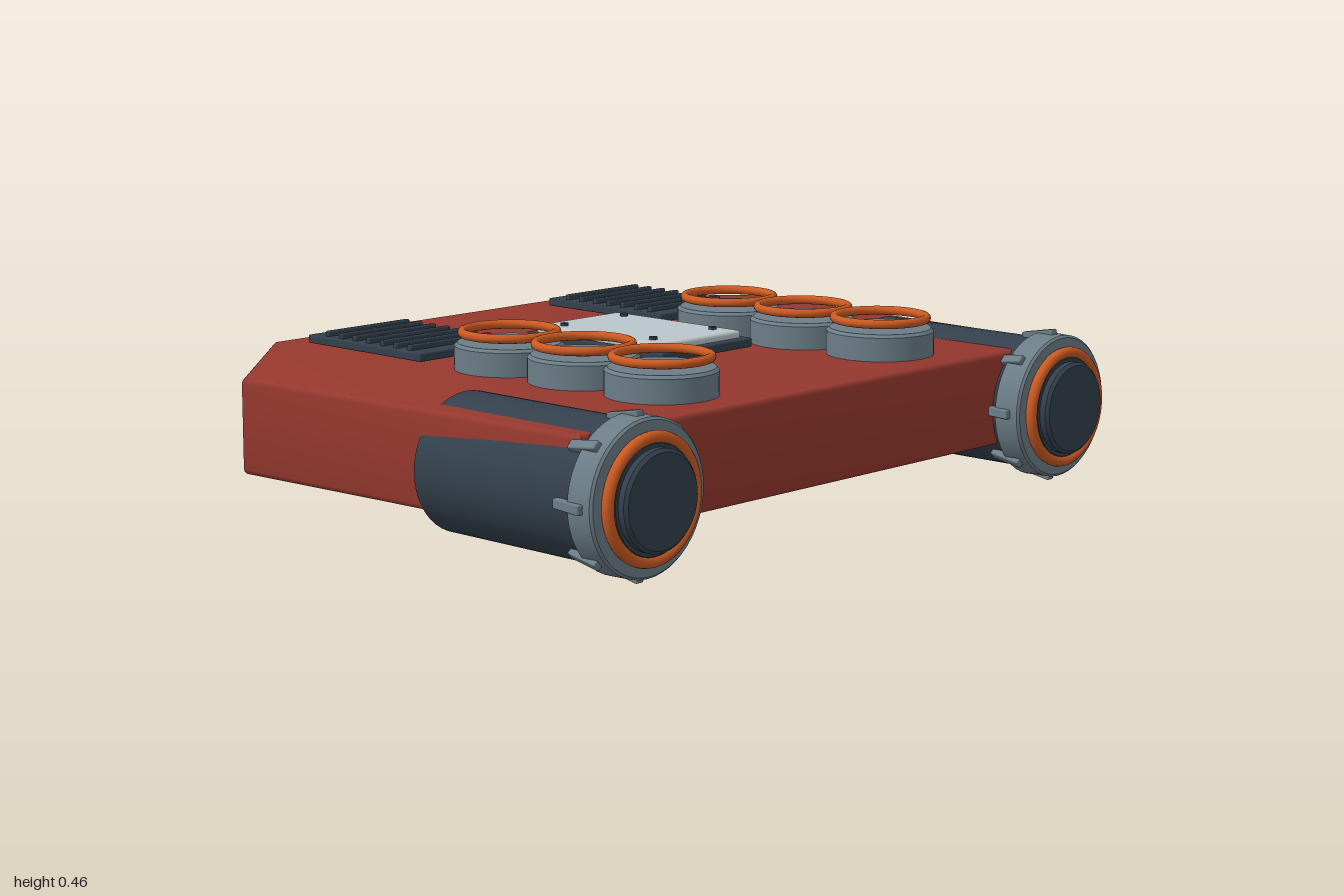
import * as THREE from 'three';
import { toCreasedNormals } from 'three/addons/utils/BufferGeometryUtils.js';
import { RoundedBoxGeometry } from 'three/addons/geometries/RoundedBoxGeometry.js';

const mat = (color) => new THREE.MeshStandardMaterial({ color });
const RED = mat(0x96382e), DARK = mat(0x33404c), GREY = mat(0x6c7d87);
const LIGHT = mat(0xb9c6ca), ORANGE = mat(0xcc5a22);

function add(parent, name, geometry, material, x = 0, y = 0, z = 0) {
  const mesh = new THREE.Mesh(geometry, material);
  mesh.name = name;
  mesh.position.set(x, y, z);
  parent.add(mesh);
  return mesh;
}

// Solid of revolution with softly bevelled rims, from y = 0 to y = h
function disc(r0, r1, h, b) {
  const p = [[0, 0], [r0 - b, 0], [r0, b], [r1, h - b], [r1 - b, h], [0, h]];
  return toCreasedNormals(new THREE.LatheGeometry(p.map(([x, y]) => new THREE.Vector2(x, y)), 48), 0.6);
}

// Same solid lying along +z
const discZ = (...a) => disc(...a).rotateX(Math.PI / 2);

// Tapered hull slab with clipped rear corners
function hullGeometry() {
  const b = 0.015;
  const half = [[0.92, 0.69], [0.98, -0.455], [0.57, -0.83]];
  const outline = [...half, ...half.map(([x, z]) => [-x, z]).reverse()];
  const shape = new THREE.Shape(outline.map(([x, z]) => new THREE.Vector2(x, z)));
  const g = new THREE.ExtrudeGeometry(shape, {
    depth: 0.25 - 2 * b, bevelSize: b, bevelThickness: b, bevelOffset: -b, bevelSegments: 3,
  });
  return toCreasedNormals(g.rotateX(Math.PI / 2).translate(0, 0.365 - b, 0), 0.6);
}

// Barrel with collar, fins, glowing ring and end cap
function thruster() {
  const g = new THREE.Group();
  g.name = 'thruster';
  add(g, 'barrel', discZ(0.175, 0.175, 0.55, 0.006), DARK, 0, 0, 0.17);
  add(g, 'collar', discZ(0.192, 0.19, 0.08, 0.006), GREY, 0, 0, 0.705);
  add(g, 'collarRing', new THREE.TorusGeometry(0.146, 0.015, 12, 48), ORANGE, 0, 0, 0.795);
  add(g, 'endCap', discZ(0.138, 0.138, 0.035, 0.006), DARK, 0, 0, 0.77);
  add(g, 'endCapFace', discZ(0.123, 0.123, 0.05, 0.008), DARK, 0, 0, 0.78);
  for (let i = 0; i < 8; i++) {
    const fin = new THREE.Group();
    fin.name = 'finPivot';
    fin.rotation.z = (i * Math.PI) / 4;
    const blade = add(fin, 'fin', new RoundedBoxGeometry(0.025, 0.02, 0.1, 2, 0.004), GREY, 0, 0.186, 0.708);
    blade.rotation.x = -0.18;
    g.add(fin);
  }
  return g;
}

// Round pod with a ring hovering above it
function pod() {
  const g = new THREE.Group();
  g.name = 'pod';
  add(g, 'podBase', disc(0.142, 0.142, 0.085, 0.008), GREY, 0, 0.35, 0);
  add(g, 'podRing', new THREE.TorusGeometry(0.121, 0.012, 12, 48).rotateX(Math.PI / 2), ORANGE, 0, 0.46, 0);
  return g;
}

// Vent plate with cross slats
function vent() {
  const g = new THREE.Group();
  g.name = 'vent';
  add(g, 'ventPlate', new RoundedBoxGeometry(0.315, 0.022, 0.44, 2, 0.004), DARK, 0, 0.398, 0);
  for (let i = -3; i <= 3; i++) {
    add(g, 'ventSlat', new RoundedBoxGeometry(0.285, 0.022, 0.016, 2, 0.004), DARK, 0, 0.412, i * 0.0535);
  }
  return g;
}

export function createModel() {
  const model = new THREE.Group();
  model.name = 'model';
  add(model, 'hull', hullGeometry(), RED);

  // Mirrored equipment
  for (const s of [-1, 1]) {
    const t = thruster();
    t.position.set(s * 0.795, 0.212, 0);
    model.add(t);
    for (const z of [-0.068, 0.2, 0.468]) {
      const p = pod();
      p.position.set(s * 0.418, 0, z);
      model.add(p);
    }
    const v = vent();
    v.position.set(s * 0.446, 0, -0.423);
    model.add(v);
  }

  // Bolted hatch in the centre
  const hatch = new THREE.Group();
  hatch.name = 'hatch';
  hatch.position.set(-0.003, 0, -0.01);
  add(hatch, 'hatchFrame', new RoundedBoxGeometry(0.345, 0.025, 0.5, 2, 0.005), DARK, 0, 0.397, 0);
  add(hatch, 'hatchPanel', new RoundedBoxGeometry(0.31, 0.03, 0.455, 3, 0.01), LIGHT, 0, 0.414, 0);
  for (const x of [-0.113, 0.113]) {
    for (const z of [-0.162, 0.162]) {
      add(hatch, 'bolt', new THREE.CylinderGeometry(0.011, 0.011, 0.012, 12), DARK, x, 0.43, z);
    }
  }
  model.add(hatch);
  return model;
}
